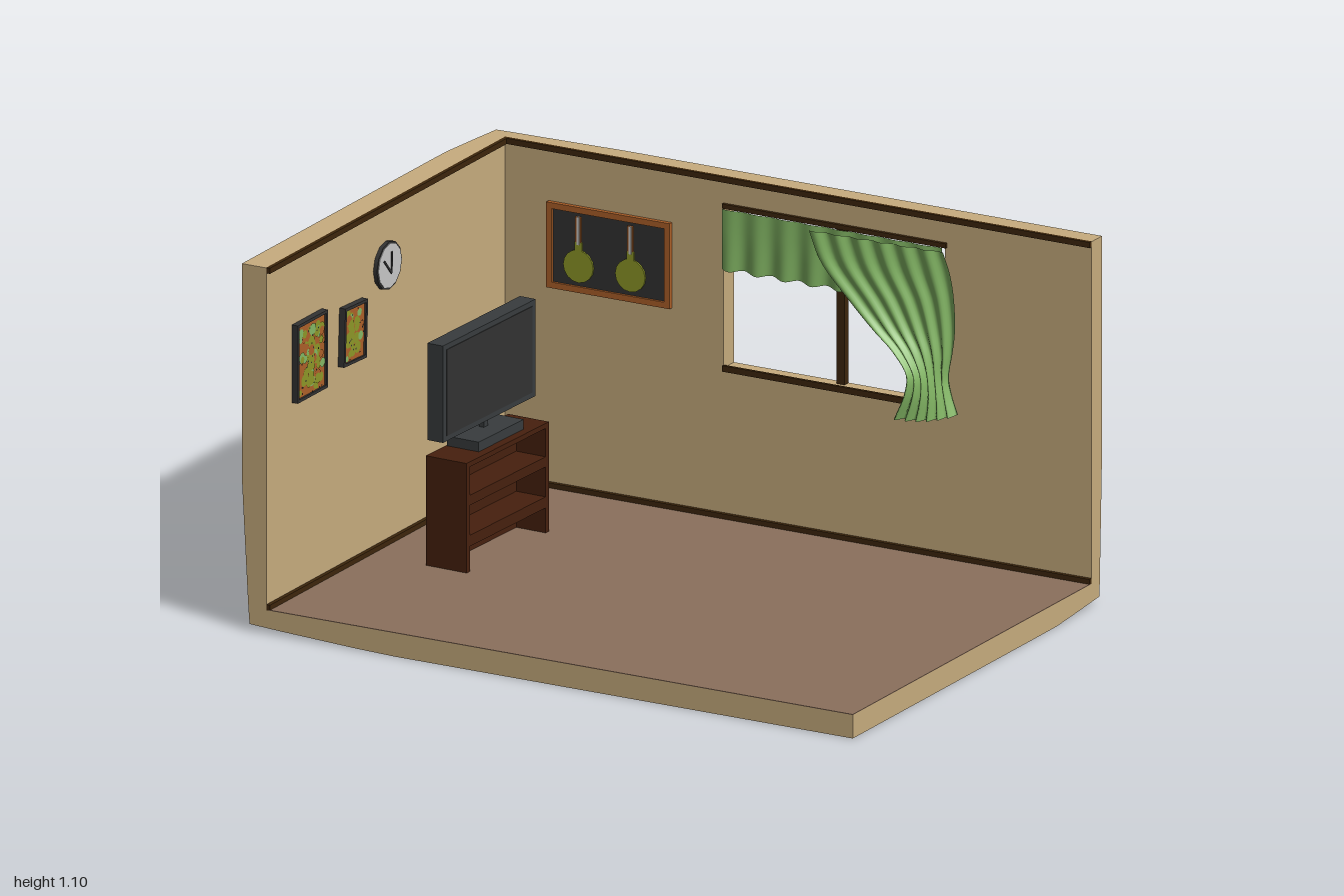
import * as THREE from 'three';

const mat = (name, color) => {
  const m = new THREE.MeshStandardMaterial({ color });
  m.name = name;
  return m;
};

export function createModel() {
  const wall = mat('wall tan', 0xc8ad7f), floorBrown = mat('floor brown', 0x8b705c);
  const trim = mat('dark trim', 0x3d260c), cabinet = mat('cabinet wood', 0x47200e);
  const slate = mat('slate', 0x383c3e), charcoal = mat('charcoal', 0x333333);
  const orange = mat('orange wood', 0xad6029), olive = mat('olive', 0x8e9828);
  const green = mat('curtain green', 0x84b865), pale = mat('pale grey', 0xc8c8c8);
  green.side = THREE.DoubleSide;

  const room = new THREE.Group();
  room.name = 'roomCorner';
  const group = (name, x = 0, y = 0, z = 0, parent = room) => {
    const g = new THREE.Group();
    g.name = name;
    g.position.set(x, y, z);
    parent.add(g);
    return g;
  };
  const add = (parent, name, geo, m, x = 0, y = 0, z = 0) => {
    const mesh = new THREE.Mesh(geo, m);
    mesh.name = name;
    mesh.position.set(x, y, z);
    parent.add(mesh);
    return mesh;
  };
  // Box given by its limits
  const box = (parent, name, m, x0, x1, y0, y1, z0, z1) =>
    add(parent, name, new THREE.BoxGeometry(x1 - x0, y1 - y0, z1 - z0), m,
      (x0 + x1) / 2, (y0 + y1) / 2, (z0 + z1) / 2);

  // Wall slabs, whose outer faces draw in gently towards the shared corner
  const H = 1.095, B = 0.715, IX = -0.92, IZ = -0.655, FY = 0.07;
  const ramp = (v, end, start) => THREE.MathUtils.clamp((start - v) / (start - end), 0, 1);
  const slab = (name, x0, x1, y0, y1, z0, z1) => {
    const seg = (a, b) => Math.max(1, Math.ceil((b - a) / 0.13));
    let g = new THREE.BoxGeometry(x1 - x0, y1 - y0, z1 - z0, seg(x0, x1), seg(y0, y1), seg(z0, z1));
    g.translate((x0 + x1) / 2, (y0 + y1) / 2, (z0 + z1) / 2);
    const p = g.attributes.position;
    for (let i = 0; i < p.count; i++) {
      const x = p.getX(i), y = p.getY(i), z = p.getZ(i);
      const rx = ramp(x, -1, -0.55), ry = ramp(y, 0, 0.45), rz = ramp(z, -B, -0.45);
      if (x < -0.999) p.setX(i, x + 0.025 * Math.max(ry, rz));
      if (y < 0.001) p.setY(i, y + 0.02 * Math.max(rx, rz));
      if (z < -B + 0.001) p.setZ(i, z + 0.015 * Math.max(rx, ry));
    }
    g = g.toNonIndexed();
    g.computeVertexNormals();
    add(room, name, g, wall);
  };
  const W0 = -0.205, W1 = 0.52, WB = 0.52, WT = 1.0;
  slab('floorSlab', -1, 1, 0, FY, -B, B);
  slab('leftWall', -1, IX, FY, H, -B, B);
  slab('backWallLeft', IX, W0, FY, H, -B, IZ);
  slab('backWallRight', W1, 1, FY, H, -B, IZ);
  slab('backWallBelowWindow', W0, W1, FY, WB, -B, IZ);
  slab('backWallAboveWindow', W0, W1, WT, H, -B, IZ);
  box(room, 'floorCovering', floorBrown, IX, 1, FY, FY + 0.002, IZ, B);

  // Skirting and crown trim
  for (const [name, y0, y1] of [['skirting', FY, 0.087], ['crown', 1.079, H + 0.001]]) {
    box(room, name + 'Back', trim, IX, 1, y0, y1, IZ, IZ + 0.012);
    box(room, name + 'Side', trim, IX, IX + 0.012, y0, y1, IZ, B);
  }

  // Window trim
  box(room, 'windowMullion', trim, 0.145, 0.171, WB, WT, -0.713, -0.69);
  box(room, 'windowSill', trim, W0, W1, 0.511, 0.529, IZ - 0.002, IZ + 0.008);
  box(room, 'curtainRail', trim, W0, 0.527, 1.0, 1.014, IZ - 0.002, IZ + 0.01);

  // Cloth sheet from a point rule over u, v in 0..1
  const cloth = (name, nu, nv, rule) => {
    const g = new THREE.PlaneGeometry(1, 1, nu, nv), p = g.attributes.position;
    for (let i = 0; i < p.count; i++) p.setXYZ(i, ...rule(p.getX(i) + 0.5, 0.5 - p.getY(i)));
    g.computeVertexNormals();
    add(room, name, g, green);
  };
  cloth('valance', 96, 3, (u, v) => {
    const wave = Math.sin(u * 50);
    return [W0 + u * 0.72, 0.998 - v * (0.18 + 0.004 * wave), -0.647 + wave * 0.006 * (0.4 + 0.6 * v)];
  });
  // Swept curtain: left and right edges, top to bottom
  const edge = (pts) => new THREE.CatmullRomCurve3(pts.map(([x, y]) => new THREE.Vector3(x, y, 0)));
  const leftEdge = edge([[0.085, 0.985], [0.125, 0.9], [0.22, 0.8], [0.3, 0.725], [0.365, 0.67],
    [0.41, 0.61], [0.405, 0.555], [0.37, 0.472]]);
  const rightEdge = edge([[0.525, 0.99], [0.55, 0.93], [0.565, 0.86], [0.57, 0.76], [0.562, 0.69],
    [0.55, 0.62], [0.56, 0.57], [0.58, 0.515]]);
  cloth('sweptCurtain', 56, 32, (u, v) => {
    const p = leftEdge.getPoint(v).lerp(rightEdge.getPoint(v), u);
    const fold = Math.sin(u * 38 + 0.6 * Math.sin(v * 4));
    return [p.x, p.y - 0.012 * v * Math.sin(u * Math.PI), -0.636 + 0.014 * v + fold * (0.005 + 0.007 * v)];
  });

  // Utensil board on the back wall
  const board = group('utensilBoard', -0.576, 0.8, IZ);
  const frame = (g, w, h, t, depth, m) => {
    for (const s of [-1, 1]) {
      add(g, 'frameUpright', new THREE.BoxGeometry(t, h, depth), m, s * (w - t) / 2, 0, depth / 2);
      add(g, 'frameRail', new THREE.BoxGeometry(w - 2 * t, t, depth), m, 0, s * (h - t) / 2, depth / 2);
    }
  };
  frame(board, 0.404, 0.256, 0.018, 0.014, orange);
  box(board, 'boardPanel', charcoal, -0.185, 0.185, -0.111, 0.111, 0, 0.006);
  for (const x of [-0.099, 0.071]) {
    const u = group('utensil', x, 0, 0.006, board);
    const bowl = add(u, 'utensilBowl', new THREE.CylinderGeometry(0.049, 0.049, 0.005, 16), olive, 0, -0.05, 0.0025);
    bowl.rotation.x = Math.PI / 2;
    box(u, 'utensilNeck', olive, -0.012, 0.012, -0.01, 0.022, 0, 0.005);
    box(u, 'utensilHandle', orange, -0.009, 0.009, 0.022, 0.098, 0, 0.006);
    box(u, 'handleHighlight', pale, -0.003, 0.005, 0.015, 0.098, 0.001, 0.008);
  }

  // Framed pictures on the left wall
  let seed = 11;
  const rnd = () => (seed = (seed * 16807) % 2147483647) / 2147483647;
  const picture = (y, z, w, h, tilt) => {
    const g = group('wallPicture', IX, y, z);
    g.rotation.set(0, Math.PI / 2, tilt);
    frame(g, w, h, 0.009, 0.02, charcoal);
    const cw = w - 0.018, ch = h - 0.018;
    box(g, 'canvas', orange, -cw / 2, cw / 2, -ch / 2, ch / 2, 0, 0.014);
    const n = Math.round(cw * ch * 900);
    for (let i = 0; i < n * 3; i++) {
      const dot = i >= n * 2;
      const r = dot ? 0.003 : 0.009 + rnd() * 0.01;
      const spot = add(g, 'paintSpot', new THREE.CircleGeometry(r, 8), dot ? charcoal : i % 5 < 3 ? olive : i % 5 < 4 ? green : orange,
        (rnd() - 0.5) * (cw - 2 * r), (rnd() - 0.5) * (ch - 2 * r), 0.0145 + i * 0.00005);
      spot.rotation.z = rnd() * 3;
    }
  };
  picture(0.766, 0.483, 0.172, 0.233, 0);
  picture(0.765, 0.235, 0.13, 0.174, -0.045);

  // Wall clock
  const clock = group('wallClock', IX, 0.908, 0.03);
  clock.rotation.y = Math.PI / 2;
  const disc = (name, r, d, m) => {
    add(clock, name, new THREE.CylinderGeometry(r, r, d, 12), m, 0, 0, d / 2).rotation.x = Math.PI / 2;
  };
  disc('clockRim', 0.072, 0.012, charcoal);
  disc('clockFace', 0.066, 0.014, pale);
  const hand = (name, x1, y1) => {
    const x0 = 0.007, y0 = -0.024, dx = x1 - x0, dy = y1 - y0;
    const m = add(clock, name, new THREE.BoxGeometry(0.006, Math.hypot(dx, dy), 0.003), charcoal,
      (x0 + x1) / 2, (y0 + y1) / 2, 0.0155);
    m.rotation.z = Math.atan2(-dx, dy);
  };
  hand('minuteHand', 0.008, 0.04);
  hand('hourHand', -0.035, 0.022);

  // Open cabinet with three bays, turned slightly
  const stand = group('cabinet', -0.65, 0, -0.08);
  stand.rotation.y = -0.034;
  const D = 0.068, L = 0.223;
  box(stand, 'cabinetBack', cabinet, -D, -0.03, FY, 0.4, -L, L);
  for (const s of [-1, 1])
    box(stand, 'cabinetSide', cabinet, -0.03, D, FY, 0.4, s < 0 ? -L : 0.205, s < 0 ? -0.205 : L);
  for (const [y0, y1] of [[0.147, 0.18], [0.27, 0.3], [0.385, 0.4]])
    box(stand, 'cabinetShelf', cabinet, -0.03, D, y0, y1, -0.205, 0.205);

  // Television
  const tv = group('television', -0.674, 0, -0.088);
  tv.rotation.y = -0.034;
  box(tv, 'tvBase', slate, -0.04, 0.066, 0.4, 0.429, -0.122, 0.122);
  box(tv, 'tvNeck', slate, -0.008, 0.008, 0.429, 0.46, -0.022, 0.0);
  box(tv, 'tvBody', slate, -0.026, 0.026, 0.456, 0.746, -0.251, 0.251);
  box(tv, 'tvScreen', charcoal, 0.024, 0.028, 0.472, 0.73, -0.232, 0.232);

  return room;
}
